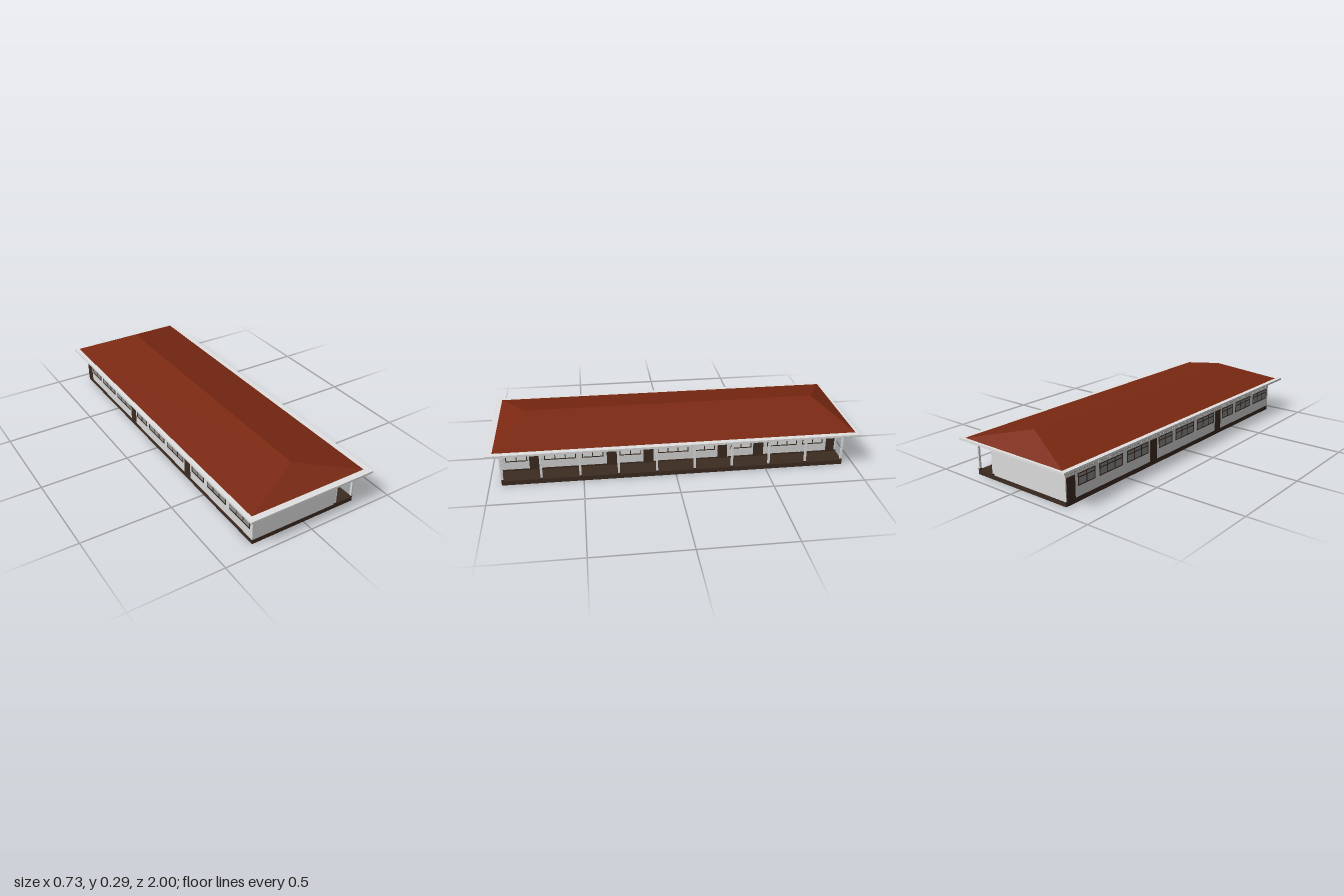
import * as THREE from 'three';
import { mergeGeometries } from 'three/addons/utils/BufferGeometryUtils.js';

const mat = (name, color) => Object.assign(new THREE.MeshStandardMaterial({ color }), { name });

// Axis-aligned box given by its minimum and maximum on each axis
const span = (x0, x1, y0, y1, z0, z1) =>
  new THREE.BoxGeometry(x1 - x0, y1 - y0, z1 - z0)
    .translate((x0 + x1) / 2, (y0 + y1) / 2, (z0 + z1) / 2);

// Hip roof from four eave corners and two ridge ends
function hipRoof(x0, x1, z0, z1, y0, xr, yr, zr0, zr1) {
  const a = [x0, y0, z1], b = [x1, y0, z1], c = [x1, y0, z0], d = [x0, y0, z0];
  const f = [xr, yr, zr1], k = [xr, yr, zr0];
  const tris = [a, b, f, b, c, k, b, k, f, c, d, k, d, a, f, d, f, k];
  const g = new THREE.BufferGeometry();
  g.setAttribute('position', new THREE.Float32BufferAttribute(tris.flat(), 3));
  g.computeVertexNormals();
  return g;
}

export function createModel() {
  const model = new THREE.Group();
  model.name = 'longVerandaBuilding';

  const wall = mat('wallGrey', 0xdadada);
  const trim = mat('trimWhite', 0xe2e2e2);
  const dark = mat('darkBrown', 0x3d2c22);
  const tile = mat('roofRed', 0x7a2812);
  const lightGlass = mat('lightGlass', 0xe4e7e2);
  const dimGlass = mat('dimGlass', 0x8e8e8e);
  const ventGrey = mat('ventGrey', 0x8a8a8a);

  const add = (name, geos, material, parent = model) => {
    const mesh = new THREE.Mesh(mergeGeometries([geos].flat()), material);
    mesh.name = name;
    parent.add(mesh);
  };

  // Main masses
  add('plinth', span(-0.308, 0.312, 0, 0.025, -0.935, 0.935), dark);
  add('walls', span(-0.308, 0.202, 0.025, 0.196, -0.935, 0.935), wall);
  add('skirting', span(0.191, 0.204, 0.025, 0.033, -0.936, 0.936), dark);
  add('eaveSlab', span(-0.366, 0.366, 0.195, 0.207, -1, 1), trim);
  add('hipRoof', hipRoof(-0.34, 0.335, -0.985, 0.965, 0.207, -0.003, 0.286, -0.83, 0.81), tile);

  // Veranda posts, their dark feet, and the pilasters between bays
  const bay = 0.2065, posts = [], feet = [], pilasters = [];
  for (let i = 0; i < 10; i++) {
    const z = -0.9285 + i * bay;
    posts.push(span(0.303, 0.312, 0.025, 0.196, z - 0.006, z + 0.006));
    feet.push(span(0.302, 0.313, 0.025, 0.033, z - 0.0065, z + 0.0065));
    pilasters.push(span(0.2, 0.205, 0.033, 0.196, z - 0.006, z + 0.006));
  }
  add('verandaPosts', posts, trim);
  add('postFeet', feet, dark);
  add('pilasters', pilasters, wall);

  // Openings of one long side; s is the side the wall faces
  function longSide(name, face, s, windows, doors, glass) {
    const side = new THREE.Group();
    side.name = name;
    model.add(side);
    // Plate standing proud of the wall by t
    const plate = (t, y0, y1, z0, z1) =>
      span(Math.min(face, face + s * t), Math.max(face, face + s * t), y0, y1, z0, z1);

    add('doors', doors.map(([a, b]) => plate(0.003, 0.025, 0.144, a, b)), dark, side);

    const panes = [], frames = [], y0 = 0.08, y1 = 0.144, w = 0.005;
    for (const [a, b] of windows) {
      panes.push(plate(0.0012, y0, y1, a, b));
      const n = b - a > 0.15 ? 3 : 2;
      for (let i = 0; i <= n; i++) {
        const z = a + (b - a - w) * i / n;
        frames.push(plate(0.003, y0, y1, z, z + w));
      }
      for (const y of [y0, 0.12, y1 - w]) frames.push(plate(0.003, y, y + w, a, b));
    }
    add('windowPanes', panes, glass, side);
    add('windowFrames', frames, dark, side);

    // Ventilation grilles above the openings
    const backs = [], bars = [];
    for (let i = 0; i < 9; i++) {
      const a = -0.919 + i * bay, b = a + bay - 0.019;
      backs.push(plate(0.001, 0.151, 0.191, a, b));
      for (let k = 0; k <= 16; k++) {
        const z = a + (b - a - 0.005) * k / 16;
        bars.push(plate(0.002, 0.151, 0.191, z, z + 0.005));
      }
      for (let k = 0; k <= 4; k++) {
        const y = 0.151 + 0.009 * k;
        bars.push(plate(0.002, y, y + 0.004, a, b));
      }
    }
    add('ventBacks', backs, ventGrey, side);
    add('ventBars', bars, trim, side);
  }

  longSide('verandaSide', 0.202, 1,
    [[0.80, 0.917], [0.537, 0.71], [0.388, 0.505], [0.18, 0.30], [-0.083, 0.088],
      [-0.233, -0.115], [-0.441, -0.323], [-0.703, -0.532], [-0.853, -0.735]],
    [[0.735, 0.79], [0.315, 0.37], [0.113, 0.168], [-0.302, -0.249], [-0.51, -0.452], [-0.928, -0.874]],
    lightGlass);

  // The plain side repeats one room three times: door, narrow window, two wide ones
  const rear = [], rearDoors = [];
  for (const z of [-0.93, -0.31, 0.31]) {
    rearDoors.push([z, z + 0.056]);
    rear.push([z + 0.075, z + 0.195], [z + 0.225, z + 0.398], [z + 0.432, z + 0.605]);
  }
  longSide('plainSide', -0.308, -1, rear, rearDoors, dimGlass);

  return model;
}
